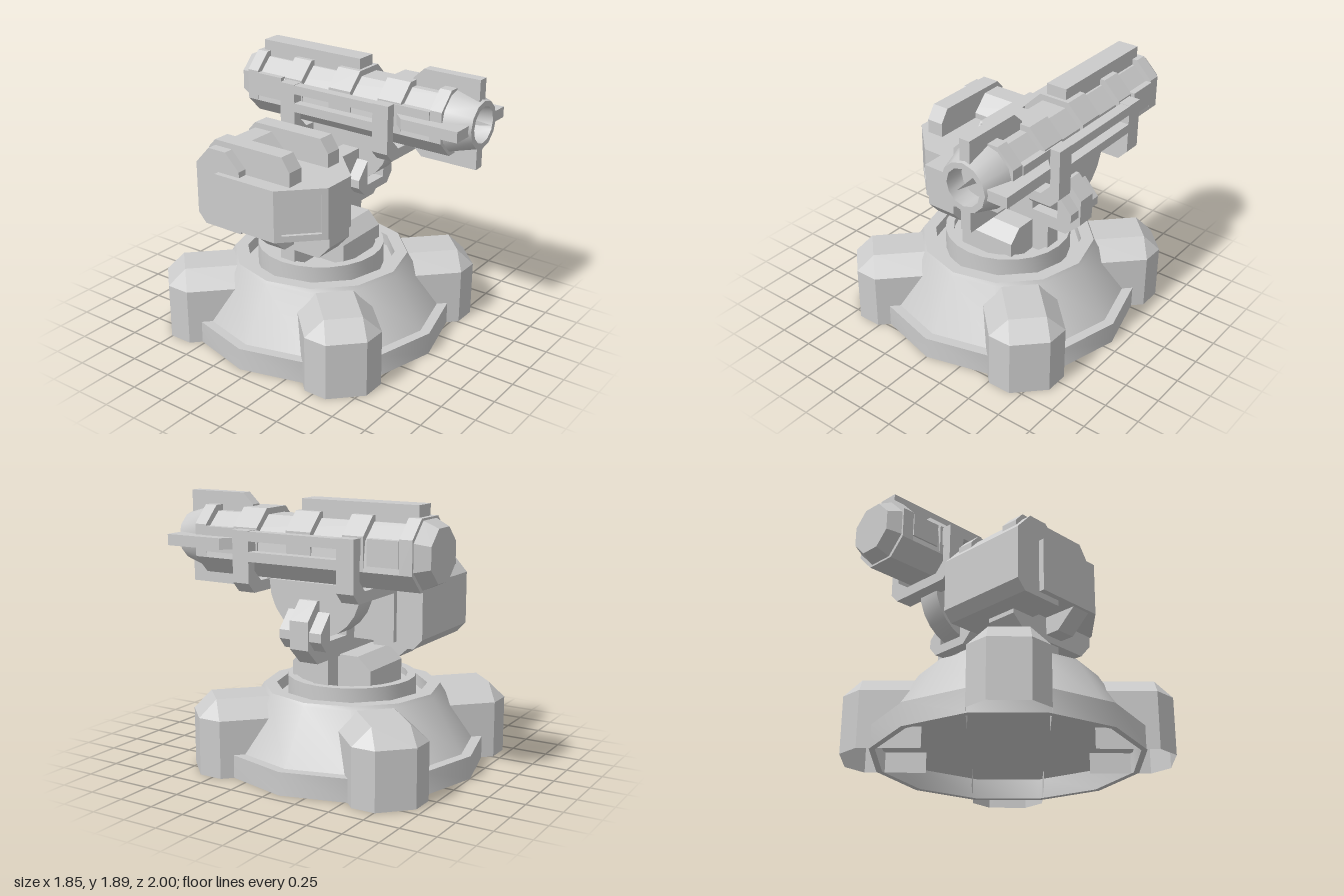
import * as THREE from 'three';
import { toCreasedNormals } from 'three/addons/utils/BufferGeometryUtils.js';

const flat = new THREE.MeshStandardMaterial({ color: 0xcccccc, flatShading: true });
const smooth = new THREE.MeshStandardMaterial({ color: 0xcccccc });
const thin = new THREE.MeshStandardMaterial({ color: 0xcccccc, flatShading: true, side: THREE.DoubleSide });

export function createModel() {
  const root = new THREE.Group();
  const add = (name, geo, parent = root, mat = flat) => {
    const m = new THREE.Mesh(geo, mat);
    m.name = name;
    parent.add(m);
    return m;
  };
  const group = (name) => {
    const g = new THREE.Group();
    g.name = name;
    root.add(g);
    return g;
  };
  // box given by its limits on each axis
  const box = (x0, x1, y0, y1, z0, z1) =>
    new THREE.BoxGeometry(x1 - x0, y1 - y0, z1 - z0).translate((x0 + x1) / 2, (y0 + y1) / 2, (z0 + z1) / 2);
  const outline = (pts) => new THREE.Shape(pts.map(([a, b]) => new THREE.Vector2(a, b)));
  const extrude = (pts, depth) => new THREE.ExtrudeGeometry(outline(pts), { depth, bevelEnabled: false });
  // outlines in (x, y), (z, y) and (x, z) swept along the remaining axis
  const alongZ = (pts, z0, z1) => extrude(pts, z1 - z0).translate(0, 0, z0);
  const alongX = (pts, x0, x1) => extrude(pts, x1 - x0).rotateY(-Math.PI / 2).translate(x1, 0, 0);
  const alongY = (pts, y0, y1) => extrude(pts, y1 - y0).rotateX(Math.PI / 2).translate(0, y1, 0);
  const lathe = (pts, sides) =>
    toCreasedNormals(new THREE.LatheGeometry(pts.map(([r, y]) => new THREE.Vector2(r, y)), sides), 0.7);

  // ---- base, hollow underneath ----
  const base = group('base');
  base.position.z = -0.077;
  add('baseShell', lathe([[0, 0.145], [0.885, 0.145], [0.885, 0], [0.925, 0], [0.925, 0.16], [0.855, 0.16],
    [0.635, 0.52], [0.62, 0.545], [0.53, 0.545], [0.53, 0.46], [0, 0.46]], 12), base, smooth);
  add('turntable', lathe([[0.45, 0.46], [0.45, 0.62], [0.39, 0.62], [0.39, 0.57], [0, 0.57]], 24), base, smooth);

  // four feet, open below and inside: cross-sections (u outward, v sideways) joined in loops
  const footRings = [0, 0.4, 0.52].map((y, i) => (i < 2
    ? [[0.56, -0.255], [0.976, -0.255], [1.096, -0.135], [1.096, 0.135], [0.976, 0.255], [0.56, 0.255]]
    : [[0.56, -0.127], [0.976, -0.127], [0.976, -0.127], [0.976, 0.127], [0.976, 0.127], [0.56, 0.127]])
    .map(([u, v]) => [u, y, v]));
  const footGeometry = () => {
    const pos = [], n = 6;
    const tri = (a, b, c) => pos.push(...a, ...b, ...c);
    for (let k = 0; k < 2; k++) {
      for (let i = 0; i < n - 1; i++) {
        const lo = footRings[k], hi = footRings[k + 1];
        tri(lo[i], hi[i], hi[i + 1]);
        tri(lo[i], hi[i + 1], lo[i + 1]);
      }
    }
    for (let i = 1; i < n - 1; i++) tri(footRings[2][0], footRings[2][i + 1], footRings[2][i]);
    const g = new THREE.BufferGeometry();
    g.setAttribute('position', new THREE.Float32BufferAttribute(pos, 3));
    g.computeVertexNormals();
    return g;
  };
  for (let i = 0; i < 4; i++) add('foot', footGeometry(), base, thin).rotation.y = Math.PI / 4 + i * Math.PI / 2;

  // ---- neck and gun arm ----
  const neck = group('neck');
  add('neckColumn', box(-0.4, 0.4, 0.56, 0.82, -0.125, -0.005), neck);
  add('neckBlock', alongX([[0.24, 0.56], [0.24, 0.72], [0.15, 0.81], [-0.28, 0.81], [-0.38, 0.72], [-0.38, 0.56]],
    -0.165, 0.27), neck);
  add('gunArm', alongZ([[-0.1, 0.8], [0.55, 0.8], [0.665, 0.91], [0.665, 1.1], [0.55, 1.22], [-0.1, 1.22]], -0.14, 0), neck);
  // forked hub holding the curved mount
  add('pivotHub', alongZ([[0.3, 0.9], [0.59, 0.9], [0.65, 0.97], [0.65, 1.03], [0.54, 1.15], [0.54, 0.965],
    [0.335, 0.965], [0.335, 1.15], [0.23, 1.03], [0.23, 0.97]], -0.23, 0.09), neck);

  // ---- equipment pod on the right ----
  const pod = group('pod');
  const podX = -0.3025;
  // half outline in plan (x from the pod's middle, z); the notch sinks a panel into the slanted corner
  const podPlan = (notch) => {
    const half = [[0.3825, -0.45], [0.3825, 0.05], ...notch, [0.1275, 0.305]];
    return [...half.map(([x, z]) => [podX + x, z]), ...half.reverse().map(([x, z]) => [podX - x, z])];
  };
  add('podLowerBand', alongY(podPlan([]), 0.89, 0.935), pod);
  add('podUpperBand', alongY(podPlan([]), 1.22, 1.26), pod);
  add('podBody', alongY(podPlan([[0.3475, 0.085], [0.3295, 0.067], [0.1395, 0.257], [0.1575, 0.275]]), 0.935, 1.22), pod);
  add('podRear', alongX([[-0.27, 0.85], [-0.27, 1.3], [-0.385, 1.415], [-0.53, 1.415], [-0.645, 1.29],
    [-0.645, 0.92], [-0.58, 0.85]], -0.645, 0.04), pod);
  add('podArm', alongZ([[-0.66, 0.89], [-0.52, 0.765], [0.07, 0.765], [0.07, 0.89]], -0.14, 0.005), pod);
  add('podKeel', alongX([[0.3, 0.89], [0.3, 0.82], [0.21, 0.72], [-0.34, 0.72], [-0.45, 0.82], [-0.45, 0.89]],
    -0.415, -0.19), pod);
  for (const s of [-1, 1]) {
    const x = podX + s * 0.21;
    add('podTopRail', alongX([[-0.59, 1.25], [0.1, 1.25], [0.1, 1.36], [0.035, 1.455], [-0.53, 1.455], [-0.59, 1.39]],
      x - 0.0625, x + 0.0625), pod);
  }

  // ---- gun, modelled around its own axis ----
  const gun = group('gun');
  gun.position.set(0.44, 1.573, 0);
  const R = 0.229, C = 0.11;
  const band = [[C, -R], [R, -C], [R, C], [C, R], [-C, R], [-R, C], [-R, -C], [-C, -R]];
  add('gunCore', alongZ([[C, -R], [R, -C], [0.205, 0.08], [0.09, 0.188], [-0.09, 0.188], [-0.205, 0.08], [-R, -C], [-C, -R]],
    -0.89, 0.74), gun);
  for (const [a, b] of [[-0.89, -0.8], [-0.55, -0.4], [-0.165, 0.02], [0.247, 0.433], [0.66, 0.75]]) {
    add('gunBand', alongZ(band, a, b), gun);
  }
  // eight-sided tail cap, narrowing to the rear
  const tailScale = 1 / Math.cos(Math.PI / 8);
  add('gunTail', new THREE.CylinderGeometry(0.215 * tailScale, 0.17 * tailScale, 0.097, 8, 1, false, Math.PI / 8)
    .rotateX(Math.PI / 2).translate(0, 0, -0.9385), gun);
  add('muzzle', lathe([[R, 0.74], [0.168, 0.94], [0.128, 0.94], [0.128, 0.8], [0, 0.8]], 12)
    .rotateX(Math.PI / 2), gun, smooth);
  // upright sliver in the bore
  add('muzzleNeedle', new THREE.ShapeGeometry(outline([[0.8, -0.03], [0.998, 0.01], [0.8, 0.03]]))
    .rotateY(-Math.PI / 2), gun, thin);

  // four fins around the muzzle
  for (let i = 0; i < 4; i++) {
    add('muzzleFin', alongX([[0.92, 0.165], [0.92, 0.315], [0.49, 0.315], [0.41, 0.24], [0.41, 0.165]],
      -0.038, 0.038), gun).rotation.z = i * Math.PI / 2;
  }
  add('topRail', box(-0.075, 0.075, 0.16, 0.305, -0.855, -0.005), gun);

  // cradle brackets, side rails and side panels
  const cradle = [[-0.31, 0.1], [-0.31, -0.245], [-0.245, -0.313], [0.245, -0.313], [0.31, -0.245], [0.31, 0.1],
    [0.24, 0.1], [0.24, -0.17], [0.17, -0.24], [-0.17, -0.24], [-0.24, -0.17], [-0.24, 0.1]];
  for (const [a, b] of [[0.26, 0.385], [-0.53, -0.405]]) {
    add('cradleBracket', alongZ(cradle, a, b), gun);
    for (const s of [-1, 1]) add('bracketLug', box(s * 0.26 - 0.05, s * 0.26 + 0.05, -0.04, 0.1, a, b), gun);
  }
  for (const s of [-1, 1]) {
    for (const y of [-0.068, 0.065]) {
      add('sideRail', box(s * 0.275 - 0.035, s * 0.275 + 0.035, y - 0.032, y + 0.032, -0.53, 0.385), gun);
    }
    for (const [a, b] of [[0.385, 0.66], [-0.8, -0.58]]) {
      add('sidePanel', box(s * 0.215 - 0.022, s * 0.215 + 0.022, -0.07, 0.1, a, b), gun);
    }
  }
  // curved mount that rocks in the hub
  const rocker = [[0.25, -0.24]];
  for (let i = 0; i <= 12; i++) {
    const t = (i / 12) * Math.PI;
    rocker.push([-0.1 + 0.35 * Math.cos(t), -0.255 - 0.35 * Math.sin(t)]);
  }
  rocker.push([-0.45, -0.24]);
  add('rockerMount', toCreasedNormals(alongX(rocker, -0.085, 0.085), 0.6), gun, smooth);

  return root;
}
